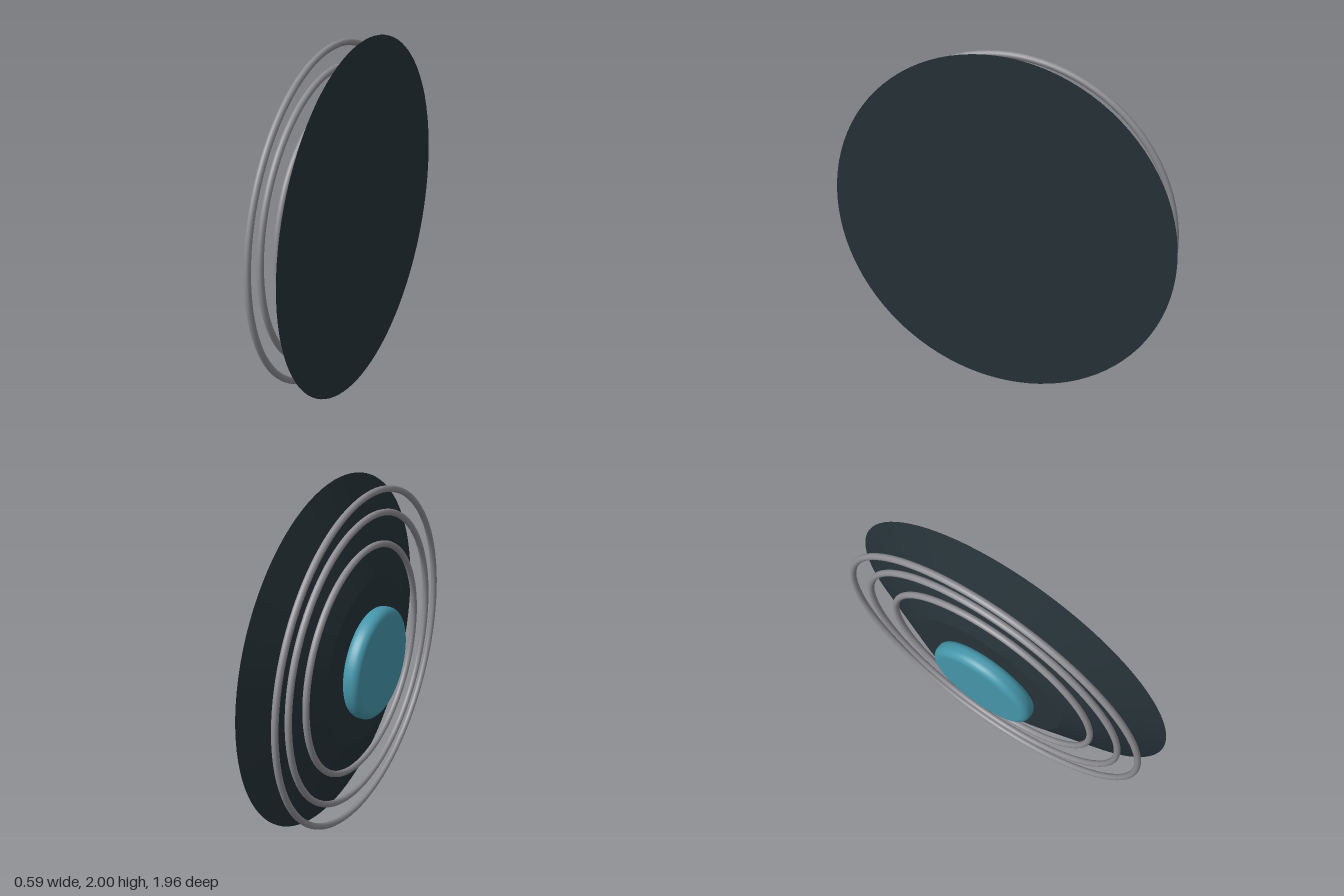
import * as THREE from 'three';

const paint = (name, color) => {
  const m = new THREE.MeshStandardMaterial({ color });
  m.name = name;
  return m;
};

export function createModel() {
  const model = new THREE.Group();
  model.name = 'tiltedDish';
  const slate = paint('dark slate', 0x263238);
  const grey = paint('ring grey', 0x8e8e93);
  const teal = paint('hub teal', 0x4597ab);

  // Everything is stacked along local +y, then tipped on its side.
  const axis = new THREE.Group();
  axis.name = 'dishAssembly';
  axis.position.set(0.093, 1, 0);
  axis.rotation.set(0, 0.2, Math.PI / 2, 'YXZ');
  model.add(axis);

  const add = (name, geometry, material, y = 0, parent = axis) => {
    const mesh = new THREE.Mesh(geometry, material);
    mesh.name = name;
    mesh.position.y = y;
    parent.add(mesh);
    return mesh;
  };

  // Wide, shallow cone with a flat back
  const height = 0.21;
  add('dishCone', new THREE.CylinderGeometry(0.475, 1, height, 96), slate, height / 2);

  // Three concentric rings in one plane
  [0.943, 0.818, 0.647].forEach((radius, i) => {
    const ring = new THREE.TorusGeometry(radius, 0.018, 12, 96).rotateX(Math.PI / 2);
    add(`ring${i + 1}`, ring, grey, 0.186);
  });

  // Round hub: bevelled side plus flat caps
  const hub = new THREE.Group();
  hub.name = 'hub';
  hub.position.y = 0.252;
  axis.add(hub);
  const half = 0.051, bevel = 0.042, flat = 0.274;
  const profile = [];
  for (const side of [-1, 1]) {
    for (let i = 0; i <= 6; i++) {
      const a = (side < 0 ? i - 6 : i) / 6 * Math.PI / 2;
      profile.push(new THREE.Vector2(flat + bevel * Math.cos(a), side * (half - bevel) + bevel * Math.sin(a)));
    }
  }
  add('hubSide', new THREE.LatheGeometry(profile, 64), teal, 0, hub);
  for (const side of [-1, 1]) {
    const cap = new THREE.CircleGeometry(flat, 64).rotateX(-side * Math.PI / 2);
    add(side > 0 ? 'hubFace' : 'hubBack', cap, teal, side * half, hub);
  }

  return model;
}
